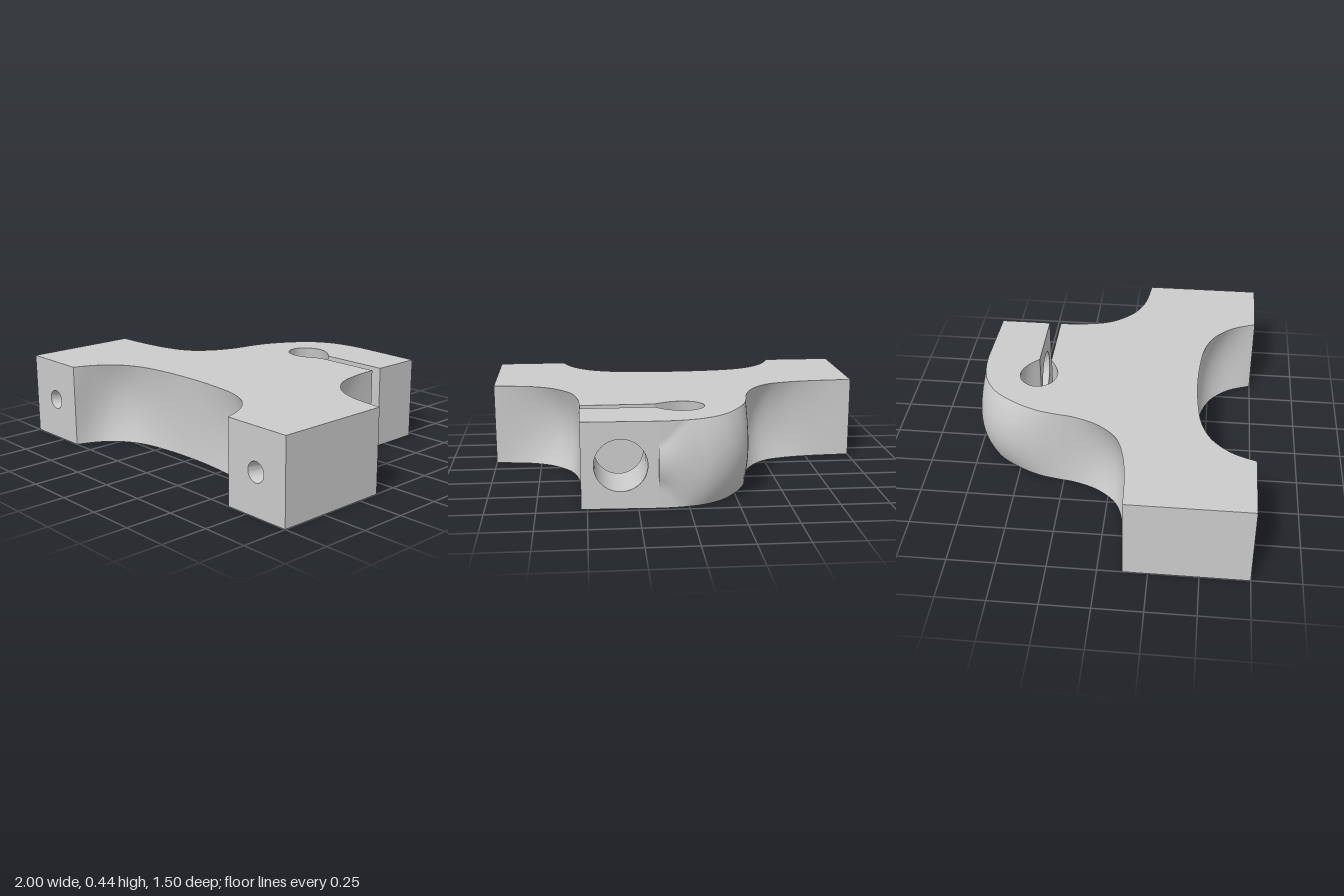
import * as THREE from 'three';
import { toCreasedNormals } from 'three/addons/utils/BufferGeometryUtils.js';

const H = 0.44; // plate thickness
const V = (x, z) => new THREE.Vector2(x, z); // plan point (x, z)
const spline = (pts, n) => new THREE.SplineCurve(pts.map(p => V(p[0], p[1]))).getPoints(n);
const mirrored = (half, centre) => [...half.map(p => [-p[0], p[1]]), centre, ...half.slice().reverse()];

export function createModel() {
  const group = new THREE.Group();
  const material = new THREE.MeshStandardMaterial({ color: 0xcccccc, side: THREE.DoubleSide });
  const add = (name, geometry) => {
    const mesh = new THREE.Mesh(geometry, material);
    mesh.name = name;
    group.add(mesh);
    return mesh;
  };

  // Upright wall along a plan path; it may swell towards a second path at mid height
  const wall = (name, base, middle = base, rows = 1, reach = () => 1) => {
    const pos = [], index = [], w = rows + 1;
    base.forEach((p, i) => {
      for (let j = 0; j <= rows; j++) {
        const t = (2 * j) / rows - 1;
        const f = Math.max(0, 1 - (t / reach(p)) ** 2);
        const q = p.clone().lerp(middle[i], f);
        pos.push(q.x, (H * j) / rows, q.y);
        if (i && j) {
          const d = i * w + j, c = d - 1, b = d - w, a = b - 1;
          index.push(a, c, d, a, d, b);
        }
      }
    });
    const g = new THREE.BufferGeometry();
    g.setAttribute('position', new THREE.Float32BufferAttribute(pos, 3));
    g.setIndex(index);
    add(name, toCreasedNormals(g, 0.6));
  };

  // Flat upright panel from a to b with a round opening at mid height
  const panel = (name, a, b, along, r) => {
    const L = a.distanceTo(b);
    const shape = new THREE.Shape([V(0, 0), V(L, 0), V(L, H), V(0, H)]);
    shape.holes.push(new THREE.Path().absarc(along, H / 2, r, 0, Math.PI * 2, true));
    const t = new THREE.Vector3(b.x - a.x, 0, b.y - a.y).normalize();
    const up = new THREE.Vector3(0, 1, 0);
    const m = new THREE.Matrix4().makeBasis(t, up, t.clone().cross(up)).setPosition(a.x, 0, a.y);
    add(name, new THREE.ShapeGeometry(shape, 24).applyMatrix4(m));
  };

  // Bore lining, profile given as (radius, z offset)
  const bore = (name, profile, x, z) => {
    const g = new THREE.LatheGeometry(profile.map(p => V(p[0], p[1])), 48).rotateX(Math.PI / 2);
    add(name, toCreasedNormals(g, 0.7)).position.set(x, H / 2, z);
  };

  // Plan curves, counterclockwise seen from above: rim line, then the mid-height line
  const arch = spline(mirrored([[0.625, 0.75], [0.585, 0.65], [0.53, 0.575], [0.45, 0.511], [0.33, 0.467], [0.16, 0.446]], [0, 0.44]), 72);
  const archMid = spline(mirrored([[0.625, 0.75], [0.605, 0.64], [0.56, 0.55], [0.47, 0.48], [0.34, 0.445], [0.17, 0.432]], [0, 0.43]), 72);

  const flank = spline([[1, 0.125], [0.82, 0.1], [0.7, 0.05], [0.615, -0.03], [0.565, -0.12], [0.538, -0.25], [0.53, -0.375]], 42);
  const flankMid = spline([[1, 0.125], [0.8, 0.12], [0.655, 0.08], [0.575, 0], [0.538, -0.1], [0.53, -0.25], [0.53, -0.375]], 42);

  const keyhole = spline([
    [0.15, -0.375], [0.1, -0.347], [0.05, -0.327], [0, -0.322], [-0.06, -0.34], [-0.098, -0.385], [-0.105, -0.422],
    [-0.098, -0.459], [-0.06, -0.504], [0, -0.522], [0.05, -0.514], [0.1, -0.487], [0.15, -0.44],
  ], 60);
  const keyholeMid = keyhole.map(p => {
    const s = 1.15 - 0.15 * THREE.MathUtils.smoothstep(p.x, 0, 0.15);
    return V(p.x * s, (p.y + 0.422) * s - 0.422);
  });

  const shoulder = spline([
    [0.15, -0.728], [0.04, -0.72], [-0.075, -0.69], [-0.18, -0.62], [-0.26, -0.51], [-0.315, -0.395], [-0.34, -0.29],
    [-0.36, -0.18], [-0.41, -0.06], [-0.5, 0.04], [-0.63, 0.09], [-0.8, 0.115], [-1, 0.125],
  ], 96);
  const shoulderMid = spline([
    [0.15, -0.752], [0, -0.746], [-0.13, -0.722], [-0.235, -0.652], [-0.305, -0.545], [-0.336, -0.415], [-0.343, -0.29],
    [-0.348, -0.18], [-0.375, -0.04], [-0.45, 0.065], [-0.59, 0.113], [-0.79, 0.124], [-1, 0.125],
  ], 96);

  // Top and bottom faces
  const outline = [
    V(-1, 0.75), ...arch, V(1, 0.75), ...flank, ...keyhole,
    V(0.53, -0.44), V(0.53, -0.715), ...shoulder,
  ];
  const top = new THREE.ShapeGeometry(new THREE.Shape(outline.map(p => V(p.x, -p.y))));
  add('topFace', top.rotateX(-Math.PI / 2).translate(0, H, 0));
  add('bottomFace', new THREE.ShapeGeometry(new THREE.Shape(outline)).rotateX(Math.PI / 2));

  // Flat side walls
  wall('leftFootSide', [V(1, 0.75), V(1, 0.125)]);
  wall('slotInnerFace', [V(0.53, -0.375), V(0.15, -0.375)]);
  wall('clampTip', [V(0.53, -0.44), V(0.53, -0.715)]);
  wall('rightFootSide', [V(-1, 0.125), V(-1, 0.75)]);

  // Hollowed arch, flank and keyhole
  wall('frontArch', arch, archMid, 16);
  wall('leftFlank', flank, flankMid, 16);
  wall('keyhole', keyhole, keyholeMid, 16);

  // Barrelled shoulder and hollowed right flank, with a lens-shaped step beside the clamp bore
  wall('shoulderAndRightFlank', [shoulder[0], ...shoulder], [shoulder[0], ...shoulderMid], 24,
    p => 1 - 0.55 * THREE.MathUtils.smoothstep(p.x, 0, 0.15));

  // Clamp arm faces with the through bore
  panel('clampBackFace', V(0.53, -0.715), V(0.15, -0.728), 0.195, 0.132);
  panel('clampSlotFace', V(0.15, -0.44), V(0.53, -0.44), 0.185, 0.125);
  bore('clampBore', [[0.125, 0.281], [0.127, 0.1], [0.132, 0]], 0.335, -0.721);

  // Front feet with blind holes that narrow inwards
  panel('rightFootFront', V(-1, 0.75), V(-0.625, 0.75), 0.19, 0.052);
  panel('leftFootFront', V(0.625, 0.75), V(1, 0.75), 0.185, 0.052);
  for (const s of [-1, 1]) {
    bore(s < 0 ? 'rightFootHole' : 'leftFootHole',
      [[0.052, 0], [0.046, -0.02], [0.041, -0.06], [0.039, -0.12], [0.039, -0.3], [0, -0.3]], s * 0.81, 0.75);
  }
  return group;
}
